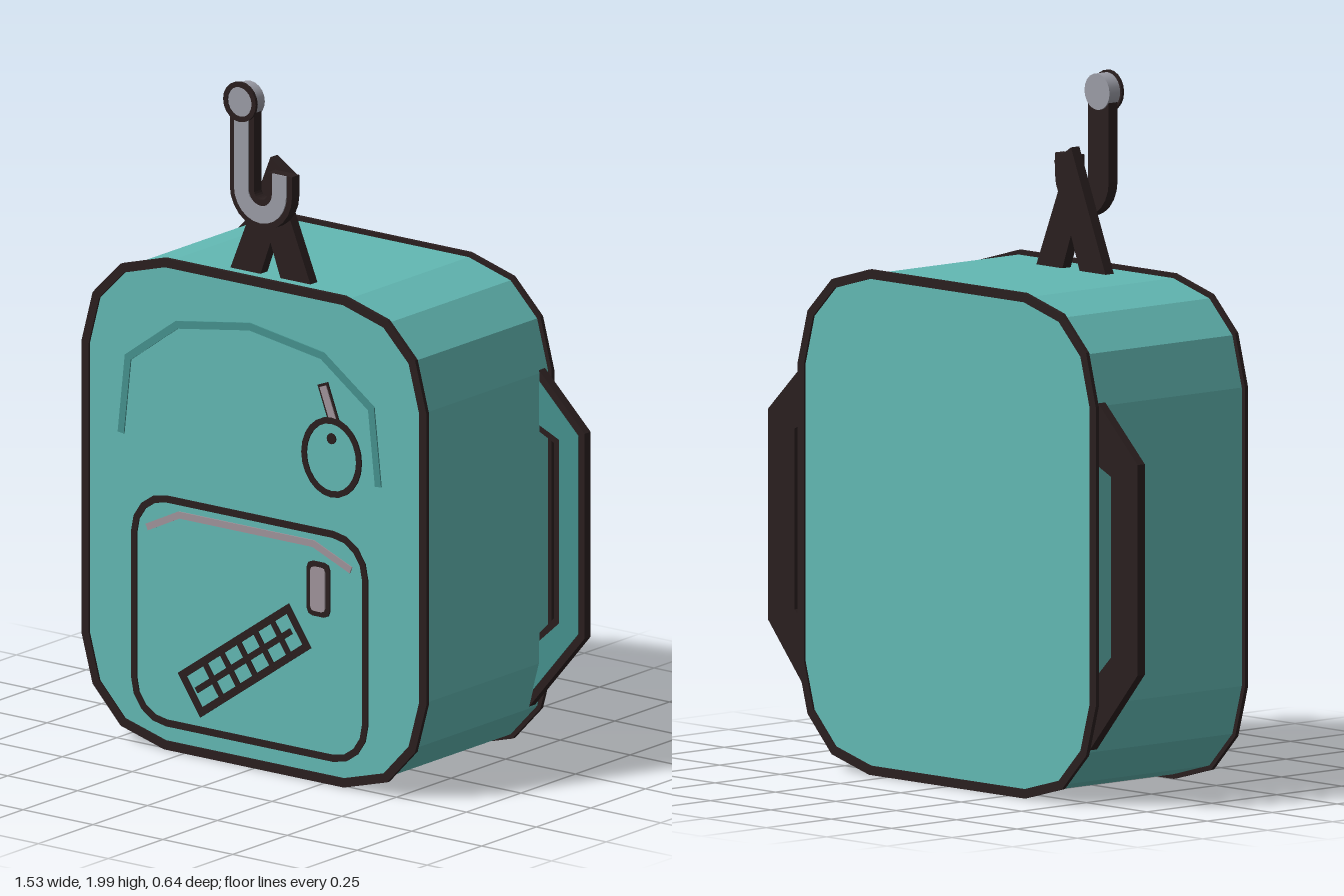
import * as THREE from 'three';

const mat = (name, color) => {
  const m = new THREE.MeshStandardMaterial({ color });
  m.name = name;
  return m;
};

// Shift a polyline sideways by d with mitred corners
function offset(pts, d, closed) {
  const n = pts.length;
  const normal = (a, b) => {
    const l = Math.hypot(b[0] - a[0], b[1] - a[1]);
    return [(b[1] - a[1]) / l, -(b[0] - a[0]) / l];
  };
  return pts.map((p, i) => {
    const prev = i > 0 ? pts[i - 1] : closed ? pts[n - 1] : null;
    const next = i < n - 1 ? pts[i + 1] : closed ? pts[0] : null;
    const n1 = prev ? normal(prev, p) : normal(p, next);
    const n2 = next ? normal(p, next) : n1;
    const k = d / (1 + n1[0] * n2[0] + n1[1] * n2[1]);
    return [p[0] + (n1[0] + n2[0]) * k, p[1] + (n1[1] + n2[1]) * k];
  });
}

const shapeOf = pts => new THREE.Shape(pts.map(p => new THREE.Vector2(p[0], p[1])));

// Open band along a polyline
const band = (pts, w) => shapeOf([...offset(pts, w / 2), ...offset(pts, -w / 2).reverse()]);

// Closed frame around a counter-clockwise outline
function frame(pts, w) {
  const s = shapeOf(offset(pts, w / 2, true));
  s.holes.push(shapeOf(offset(pts, -w / 2, true)));
  return s;
}

// Rectangle with corners cut by a few points
function roundRect(x0, y0, x1, y1, r, steps) {
  const pts = [];
  const corners = [[x1 - r, y0 + r, -90], [x1 - r, y1 - r, 0], [x0 + r, y1 - r, 90], [x0 + r, y0 + r, 180]];
  for (const [cx, cy, a0] of corners)
    for (let i = 0; i <= steps; i++) {
      const a = THREE.MathUtils.degToRad(a0 + 90 * i / steps);
      pts.push([cx + r * Math.cos(a), cy + r * Math.sin(a)]);
    }
  return pts;
}

const ellipse = (cx, cy, rx, ry, n) => Array.from({ length: n }, (_, i) => {
  const a = i / n * Math.PI * 2;
  return [cx + rx * Math.cos(a), cy + ry * Math.sin(a)];
});

export function createModel() {
  const teal = mat('teal fabric', 0x62b8b3);
  const darkTeal = mat('dark teal fabric', 0x45918d);
  const dark = mat('dark outline', 0x2a1f1f);
  const grey = mat('grey metal', 0x9b9ca6);
  const zip = mat('warm grey zip', 0xa0949b);

  const model = new THREE.Group();
  model.name = 'backpack';

  function plate(name, shape, z0, z1, material, parent = model) {
    const g = new THREE.ExtrudeGeometry(shape, { depth: z1 - z0, bevelEnabled: false });
    g.translate(0, 0, z0);
    const mesh = new THREE.Mesh(g, material);
    mesh.name = name;
    parent.add(mesh);
    return mesh;
  }

  // Body and its dark rims
  const half = [[0.32, 0.019], [0.47, 0.06], [0.565, 0.16], [0.604, 0.3],
    [0.604, 1.15], [0.565, 1.295], [0.47, 1.39], [0.32, 1.432]];
  const outline = [...half, ...half.map(([x, y]) => [-x, y]).reverse()];
  plate('body', shapeOf(outline), -0.317, 0.257, teal);
  plate('frontRim', frame(outline, 0.026), 0.251, 0.263, dark);
  plate('backRim', frame(outline, 0.026), -0.323, -0.311, dark);

  // Shoulder straps, mirrored
  const strap = [[0.54, 0.135], [0.765, 0.4], [0.765, 1.0], [0.59, 1.17],
    [0.59, 0.985], [0.655, 0.955], [0.655, 0.44], [0.59, 0.375]];
  const strapFace = [[0.57, 0.205], [0.744, 0.41], [0.744, 0.99], [0.59, 1.14],
    [0.59, 1.005], [0.676, 0.968], [0.676, 0.43], [0.57, 0.335]];
  for (const [side, s] of [['left', 1], ['right', -1]]) {
    const flip = pts => shapeOf(pts.map(([x, y]) => [x * s, y]));
    plate(side + 'Strap', flip(strap), -0.3, -0.272, dark);
    plate(side + 'StrapFace', flip(strapFace), -0.273, -0.269, darkTeal);
  }

  // Carry loop on top
  plate('carryLoop', shapeOf([[-0.148, 1.42], [-0.04, 1.42], [0, 1.53], [0.04, 1.42], [0.148, 1.42],
    [0.045, 1.67], [0.07, 1.735], [0, 1.78]]), 0.155, 0.187, dark);

  // Hook
  const hook = [[-0.068, 1.93]];
  for (let i = 0; i <= 12; i++) {
    const a = Math.PI * (1 + i / 12);
    hook.push([0.068 * Math.cos(a), 1.69 + 0.068 * Math.sin(a)]);
  }
  hook.push([0.068, 1.75]);
  plate('hook', band(hook, 0.086), 0.197, 0.231, dark);
  plate('hookFace', band(hook, 0.05), 0.23, 0.235, grey);
  const knob = new THREE.Mesh(new THREE.CylinderGeometry(0.052, 0.052, 0.046, 20), grey);
  knob.name = 'hookKnob';
  knob.rotation.x = Math.PI / 2;
  knob.position.set(-0.068, 1.942, 0.215);
  model.add(knob);
  plate('hookKnobRim', frame(ellipse(-0.068, 1.942, 0.051, 0.051, 20), 0.015), 0.233, 0.242, dark);

  // Main zip seam
  const seam = [[-0.46, 0.915], [-0.435, 1.14], [-0.26, 1.265], [0, 1.305],
    [0.26, 1.265], [0.435, 1.14], [0.46, 0.915]];
  plate('mainSeam', band(seam, 0.022), 0.28, 0.284, darkTeal);

  // Front pocket
  plate('pocketOutline', frame(roundRect(-0.413, 0.092, 0.413, 0.748, 0.115, 4), 0.02), 0.28, 0.284, dark);
  plate('pocketZip', band([[-0.365, 0.655], [-0.25, 0.71], [0.23, 0.71], [0.365, 0.655]], 0.02),
    0.283, 0.287, zip);
  plate('pocketTagRim', shapeOf(roundRect(0.208, 0.5, 0.29, 0.66, 0.02, 2)), 0.283, 0.288, dark);
  plate('pocketTag', shapeOf(roundRect(0.223, 0.515, 0.275, 0.645, 0.012, 2)), 0.287, 0.291, zip);

  // Tilted grid patch on the pocket
  const patch = new THREE.Group();
  patch.name = 'gridPatch';
  patch.position.set(-0.004, 0.33, 0.298);
  patch.rotation.z = THREE.MathUtils.degToRad(34.5);
  model.add(patch);
  plate('patchFrame', frame([[-0.229, -0.06], [0.229, -0.06], [0.229, 0.06], [-0.229, 0.06]], 0.022),
    0, 0.004, dark, patch);
  plate('patchLongBar', band([[-0.205, 0], [0.205, 0]], 0.018), 0.004, 0.008, dark, patch);
  for (let i = 0; i < 5; i++) {
    const x = -0.135 + i * 0.073;
    plate('patchCrossBar', band([[x, -0.06], [x, 0.06]], 0.018), 0.001, 0.005, dark, patch);
  }

  // Round charm with its pull
  const ring = ellipse(0.32, 0.985, 0.098, 0.108, 24);
  plate('charmFace', shapeOf(ring), 0.312, 0.315, teal);
  plate('charmRim', frame(ring, 0.018), 0.314, 0.319, dark);
  plate('charmHole', shapeOf(ellipse(0.32, 1.04, 0.016, 0.016, 12)), 0.314, 0.319, dark);
  plate('charmPullRim', band([[0.285, 1.195], [0.325, 1.09]], 0.038), 0.31, 0.314, dark);
  plate('charmPull', band([[0.288, 1.188], [0.324, 1.094]], 0.024), 0.313, 0.317, zip);

  return model;
}
